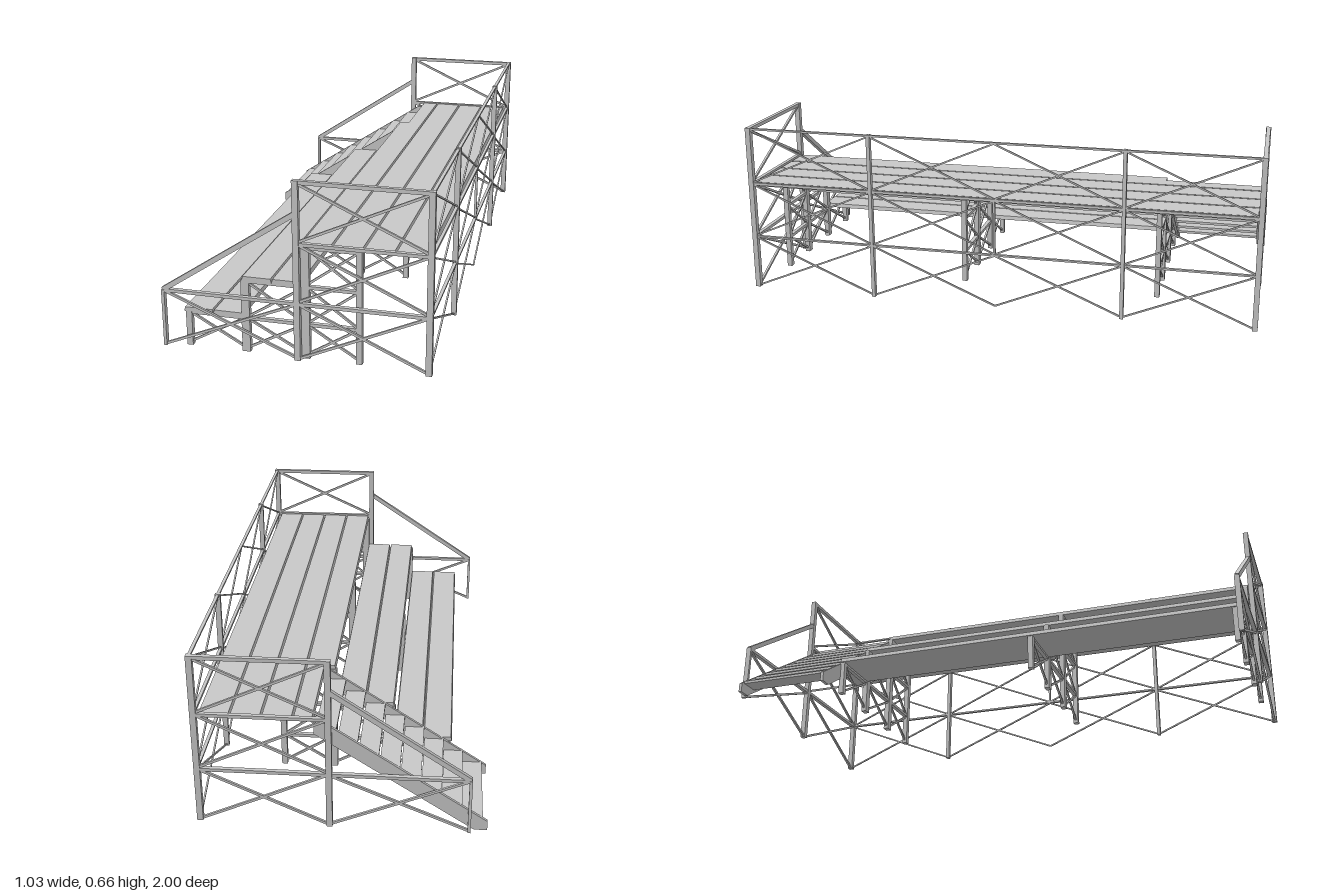
import * as THREE from 'three';

const steel = new THREE.MeshStandardMaterial({ color: 0xc8c8c8 });
steel.name = 'galvanised grey';

// Box given by its limits
function slab(parent, name, x0, x1, y0, y1, z0, z1) {
  const m = new THREE.Mesh(new THREE.BoxGeometry(x1 - x0, y1 - y0, z1 - z0), steel);
  m.position.set((x0 + x1) / 2, (y0 + y1) / 2, (z0 + z1) / 2);
  m.name = name;
  parent.add(m);
}

// Outline in x and y, extruded from z0 to z1
function profile(parent, name, points, z0, z1) {
  const shape = new THREE.Shape(points.map(([x, y]) => new THREE.Vector2(x, y)));
  const m = new THREE.Mesh(new THREE.ExtrudeGeometry(shape, { depth: z1 - z0, bevelEnabled: false }), steel);
  m.position.z = z0;
  m.name = name;
  parent.add(m);
}

// Plank whose steep sides form a groove against its neighbour
function plank(parent, x0, x1, y, z0, z1) {
  profile(parent, 'plank', [[x0, y - 0.016], [x1, y - 0.016], [x1 - 0.004, y], [x0 + 0.004, y]], z0, z1);
}

// Straight bar between two points, w across and h in the upright direction
function bar(parent, name, a, b, w, h = w) {
  const p = new THREE.Vector3(...a), q = new THREE.Vector3(...b);
  const m = new THREE.Mesh(new THREE.BoxGeometry(w, h, p.distanceTo(q)), steel);
  m.position.copy(p).add(q).multiplyScalar(0.5);
  m.lookAt(q);
  m.name = name;
  parent.add(m);
}

// Crossed braces; at(u, y) turns panel coordinates into a point
function cross(parent, at, u0, u1, y0, y1, w) {
  bar(parent, 'crossBrace', at(u0, y0), at(u1, y1), w);
  bar(parent, 'crossBrace', at(u0, y1), at(u1, y0), w);
}

function group(parent, name) {
  const g = new THREE.Group();
  g.name = name;
  parent.add(g);
  return g;
}

export function createModel() {
  const model = new THREE.Group();
  model.name = 'bleacher';

  // Eight planks on three levels; the top level runs on behind the stairs
  const decks = group(model, 'decks');
  const pitch = 0.1095, start = -0.385;
  [0.147, 0.147, 0.287, 0.287, 0.435, 0.435, 0.435, 0.435].forEach((y, i) => {
    const x = start + i * pitch;
    plank(decks, x, x + pitch, y, i < 5 ? -0.605 : -0.978, 0.975);
  });
  plank(decks, 0.092, start + 5 * pitch, 0.435, -0.978, -0.605);

  // Stepped trestles under the decks
  for (const z of [0.965, 0.19, -0.6]) {
    const t = group(model, 'trestle');
    const at = (x, y) => [x, y, z];
    const xs = [-0.368, -0.155, 0.064, 0.255];
    const tops = [0.133, 0.273, 0.42, 0.42];
    const halves = [0.011, 0.015, 0.015, 0.011];
    xs.forEach((x, i) => slab(t, 'leg', x - halves[i], x + halves[i], 0, tops[i], z - 0.01, z + 0.01));
    [0.128, 0.268, 0.413].forEach((y, row) => {
      slab(t, 'crossBeam', xs[row], xs[3], y - 0.006, y + 0.006, z - 0.008, z + 0.008);
      for (let i = row; i < 3; i++) cross(t, at, xs[i], xs[i + 1], row ? y - 0.14 : 0.01, y, 0.008);
    });
  }

  // End frames with guard rails
  for (const s of [-1, 1]) {
    const f = group(model, 'endFrame');
    const z = s * 0.99;
    const at = (x, y) => [x, y, z];
    const post = (x, h, w) => slab(f, 'post', x - w / 2, x + w / 2, 0, h, z - 0.01, z + 0.01);
    post(-0.453, 0.215, 0.011);
    post(0.04, 0.66, 0.022);
    post(0.504, 0.66, 0.022);
    const rail = (x0, x1, y, h) => slab(f, 'rail', x0, x1, y - h / 2, y + h / 2, z - 0.008, z + 0.008);
    rail(0.03, 0.514, 0.653, 0.014);
    rail(0.04, 0.505, 0.433, 0.012);
    rail(-0.455, 0.505, 0.213, 0.012);
    bar(f, 'slopedHandrail', at(-0.453, 0.215), at(0.035, 0.54), 0.016, 0.018);
    cross(f, at, -0.45, 0.04, 0.005, 0.21, 0.009);
    cross(f, at, 0.045, 0.5, 0.005, 0.21, 0.009);
    cross(f, at, 0.045, 0.5, 0.22, 0.43, 0.009);
    cross(f, at, 0.045, 0.5, 0.44, 0.648, 0.009);
  }

  // Back frame: four braced bays on three levels
  const back = group(model, 'backFrame');
  const bx = 0.505;
  const atBack = (z, y) => [bx, y, z];
  for (const z of [-0.494, 0.494]) slab(back, 'post', bx - 0.01, bx + 0.01, 0, 0.66, z - 0.007, z + 0.007);
  slab(back, 'middleStrut', bx - 0.005, bx + 0.005, 0.213, 0.433, -0.004, 0.004);
  for (const [y, h] of [[0.213, 0.007], [0.433, 0.01], [0.655, 0.007]]) {
    slab(back, 'rail', bx - 0.006, bx + 0.006, y - h / 2, y + h / 2, -0.985, 0.985);
  }
  for (let i = 0; i < 4; i++) {
    const z = -0.988 + i * 0.494;
    for (const [y0, y1] of [[0.004, 0.21], [0.216, 0.43], [0.437, 0.652]]) {
      cross(back, atBack, z, z + 0.494, y0, y1, 0.006);
    }
  }

  // Staircase: two sloping stringers and eight treads
  const stairs = group(model, 'stairs');
  const side = [[-0.517, 0], [-0.47, 0], [0.092, 0.366], [0.092, 0.42], [0.07, 0.42], [-0.517, 0.036]];
  for (const z of [-0.977, -0.618]) profile(stairs, 'stringer', side, z, z + 0.012);
  for (let i = 0; i < 8; i++) {
    const x = -0.5 + i * 0.0735, y = 0.045 + i * 0.048;
    slab(stairs, 'tread', x, x + 0.072, y - 0.005, y + 0.005, -0.966, -0.617);
  }

  return model;
}
